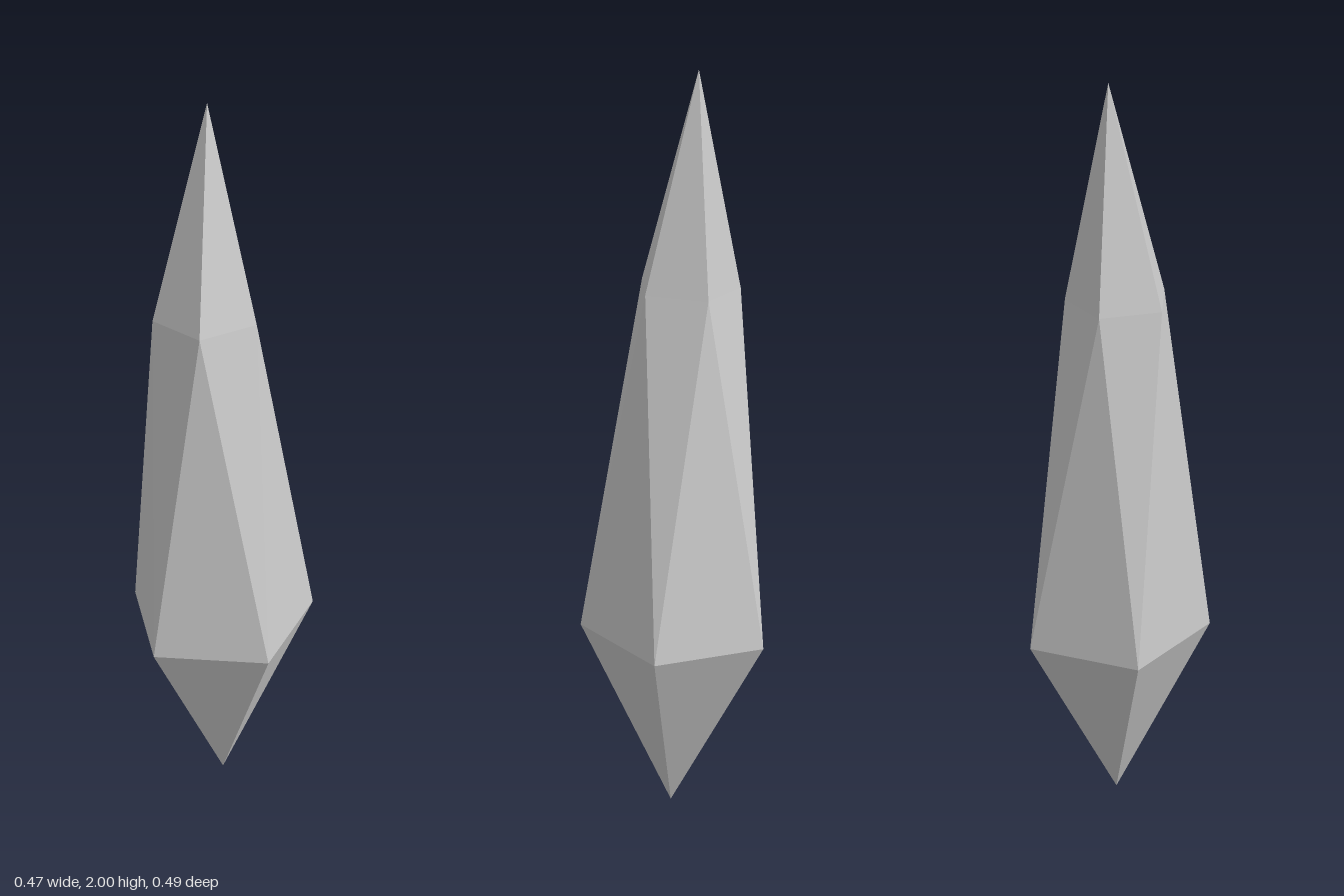
import * as THREE from 'three';

// Height of a ring point: rings sit square to the slightly leaning axis
const onRing = (height) => ([x, z]) => [x, height - 0.0075 * x + 0.0345 * z, z];

export function createModel() {
  const base = [0.015, 0, 0.02];
  const tip = [0.03, 2, -0.049];

  // Wide girdle and narrow shoulder, each with five corners, offset by half a step
  const girdle = [[-0.05, -0.247], [0.235, -0.146], [0.228, 0.159], [-0.065, 0.245], [-0.236, -0.006]].map(onRing(0.532));
  const shoulder = [[0.05, -0.158], [0.14, -0.027], [0.043, 0.1], [-0.106, 0.045], [-0.102, -0.113]].map(onRing(1.454));

  // Facets, one slice per side
  const corners = [];
  const facet = (...points) => points.forEach((p) => corners.push(...p));
  for (let i = 0; i < 5; i++) {
    const j = (i + 1) % 5;
    facet(base, girdle[i], girdle[j]);
    facet(girdle[j], girdle[i], shoulder[i]);
    facet(girdle[j], shoulder[i], shoulder[j]);
    facet(shoulder[j], shoulder[i], tip);
  }

  const geometry = new THREE.BufferGeometry();
  geometry.setAttribute('position', new THREE.Float32BufferAttribute(corners, 3));
  geometry.computeVertexNormals();

  const crystal = new THREE.Mesh(
    geometry,
    new THREE.MeshStandardMaterial({ color: 0xcccccc, flatShading: true })
  );
  crystal.name = 'crystal';

  const model = new THREE.Group();
  model.name = 'crystalShard';
  model.add(crystal);
  return model;
}
